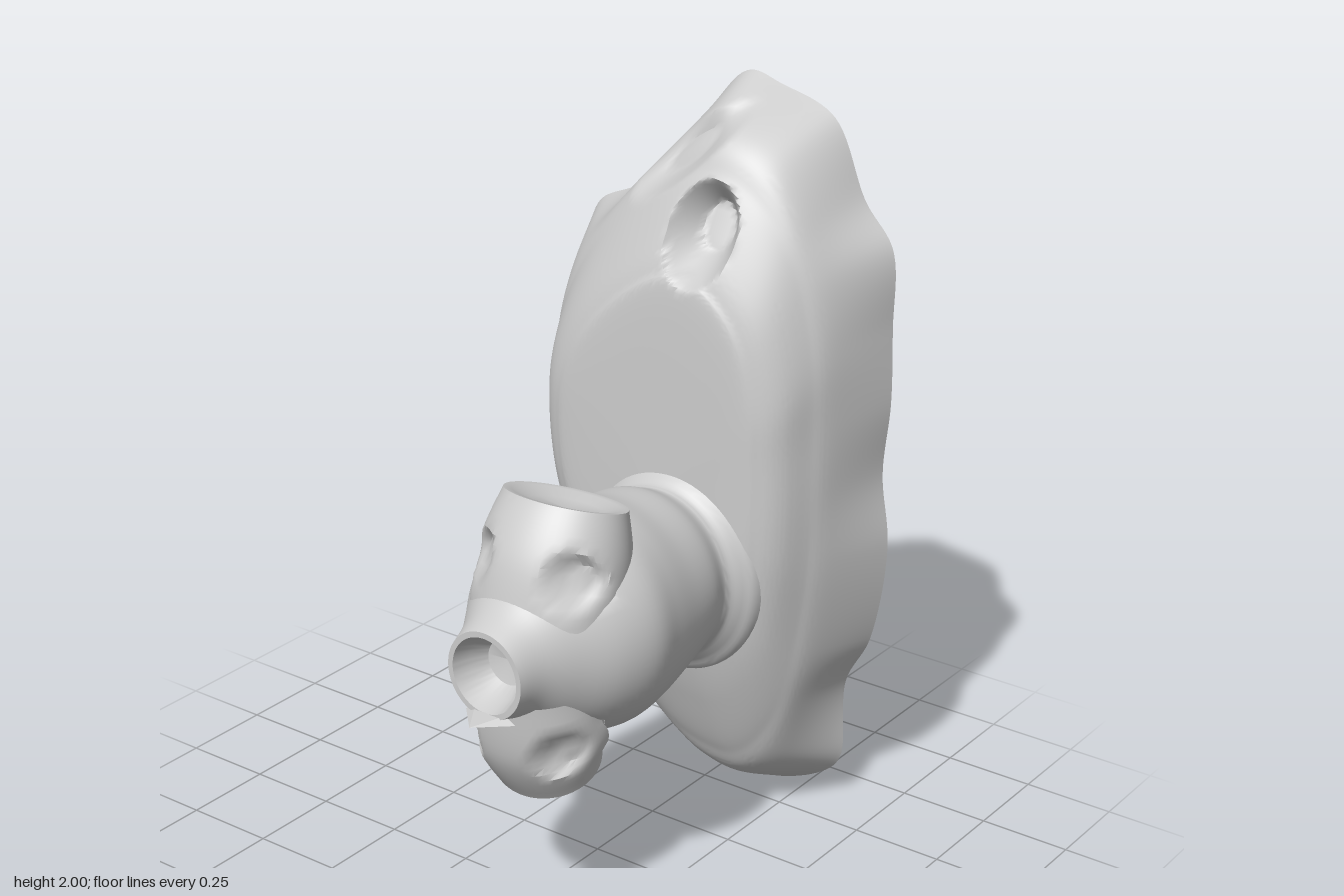
import * as THREE from 'three';
import { toCreasedNormals } from 'three/addons/utils/BufferGeometryUtils.js';

const material = new THREE.MeshStandardMaterial({ color: 0xcccccc });

// Skin a list of closed rings (counter-clockwise seen from the far end)
function loft(rings) {
  const n = rings[0].length;
  const index = [];
  for (let i = 0; i < rings.length - 1; i++) {
    for (let j = 0; j < n; j++) {
      const a = i * n + j, b = i * n + (j + 1) % n;
      index.push(a, b, b + n, a, b + n, a + n);
    }
  }
  const geo = new THREE.BufferGeometry();
  geo.setAttribute('position', new THREE.Float32BufferAttribute(
    rings.flat().flatMap(p => [p.x, p.y, p.z]), 3));
  geo.setIndex(index);
  return geo;
}

// Smoothly interpolate between the rows of a profile
function refine(rows, steps) {
  const out = [];
  const last = rows.length - 1;
  for (let i = 0; i < last; i++) {
    const p = rows[Math.max(i - 1, 0)], q = rows[Math.min(i + 2, last)];
    for (let s = 0; s < steps; s++) {
      const t = s / steps;
      out.push(rows[i].map((b, k) => {
        const a = p[k], c = rows[i + 1][k], d = q[k];
        return 0.5 * (2 * b + (c - a) * t + (2 * a - 5 * b + 4 * c - d) * t * t
          + (3 * b - a - 3 * c + d) * t * t * t);
      }));
    }
  }
  out.push(rows[last]);
  return out;
}

// Points of a unit circle
const circle = Array.from({ length: 64 }, (_, j) => {
  const a = j / 64 * Math.PI * 2;
  return [Math.cos(a), Math.sin(a)];
});

// Press an oval pit into the front of a surface
function dent(geo, x, y, rx, ry, angle, depth, minZ) {
  const pos = geo.attributes.position;
  const c = Math.cos(angle), s = Math.sin(angle);
  for (let i = 0; i < pos.count; i++) {
    const dx = pos.getX(i) - x, dy = pos.getY(i) - y;
    const d = Math.hypot((dx * c + dy * s) / rx, (dy * c - dx * s) / ry);
    if (d < 1 && pos.getZ(i) > minZ) {
      pos.setZ(i, pos.getZ(i) - depth * Math.min(1, (1 - d) * 1.8));
    }
  }
}

// Four small hollows between the mouth and the spouts
function pressHollows(geo) {
  for (const side of [-1, 1]) {
    dent(geo, 0.075 + side * 0.135, 0.99, 0.055, 0.08, side * 0.5, 0.05, 0.3);
    dent(geo, 0.075 + side * 0.13, 0.54, 0.055, 0.075, -side * 0.5, 0.05, 0.3);
  }
}

function part(name, geo, crease) {
  const mesh = new THREE.Mesh(toCreasedNormals(geo, crease), material);
  mesh.name = name;
  return mesh;
}

// Irregular stone slab with a flat back and rounded front
function createSlab() {
  const outline = [
    [0.13, 0], [0.3, 0.06], [0.37, 0.13], [0.38, 0.37], [0.45, 0.52], [0.49, 0.8],
    [0.465, 1], [0.48, 1.2], [0.475, 1.4], [0.465, 1.61], [0.38, 1.72], [0.28, 1.92],
    [0.12, 1.98], [0.02, 2], [-0.1, 1.88], [-0.3, 1.65], [-0.45, 1.57], [-0.485, 1.48],
    [-0.49, 1.2], [-0.485, 0.9], [-0.46, 0.8], [-0.39, 0.65], [-0.3, 0.42], [-0.2, 0.22],
    [-0.1, 0.19], [-0.03, 0.2], [0, 0.14], [0, 0.06], [0.05, 0.02],
  ].map(([x, y]) => new THREE.Vector3(x, y, 0));
  const n = 280, reach = 18;
  const points = new THREE.CatmullRomCurve3(outline, true).getSpacedPoints(n).slice(0, n);
  // The outline grows smoother towards the front
  const soft = points.map((_, i) => {
    const sum = new THREE.Vector3();
    for (let k = -reach; k <= reach; k++) sum.add(points[(i + k + n) % n]);
    return sum.divideScalar(2 * reach + 1);
  });
  // z, width scale, scale above centre, scale below centre
  const profile = [[-0.61, 0.001, 0.001, 0.001], ...refine([
    [-0.61, 1, 1, 1], [-0.42, 0.9, 0.945, 0.945],
    [-0.35, 0.84, 0.86, 0.85], [-0.28, 0.77, 0.73, 0.66], [-0.24, 0.67, 0.64, 0.52],
    [-0.22, 0.52, 0.54, 0.42], [-0.21, 0.001, 0.001, 0.001],
  ], 11)];
  const cx = 0.02, cy = 0.95;
  const geo = loft(profile.map(([z, sx, st, sb]) => points.map((p, i) => {
    const q = p.clone().lerp(soft[i], Math.min(1, (z + 0.61) * 4));
    return new THREE.Vector3(
      cx + (q.x - cx) * sx, cy + (q.y - cy) * (q.y > cy ? st : sb), z);
  })));
  dent(geo, 0.1, 1.66, 0.1, 0.13, 0, 0.1, -0.5);
  dent(geo, -0.03, 1.82, 0.19, 0.06, 0.72, 0.06, -0.55);
  return part('slab', geo, 0.75);
}

// Swollen barrel with a flared neck and a hollow front mouth
function createBarrel() {
  // z, centre x, half width, bottom, top
  const profile = [...refine([
    [-0.36, 0.065, 0.27, 0.46, 1.06], [-0.25, 0.065, 0.265, 0.47, 1.05],
    [-0.21, 0.065, 0.24, 0.51, 1.03], [-0.17, 0.065, 0.215, 0.54, 1.005],
    [-0.1, 0.062, 0.237, 0.53, 1.03], [0, 0.067, 0.248, 0.5, 1.045],
    [0.1, 0.07, 0.262, 0.48, 1.07], [0.2, 0.073, 0.273, 0.49, 1.07],
    [0.3, 0.07, 0.245, 0.52, 1.04], [0.4, 0.07, 0.18, 0.57, 0.98],
    [0.48, 0.073, 0.133, 0.63, 0.92], [0.55, 0.075, 0.112, 0.655, 0.885],
  ], 5),
  [0.55, 0.075, 0.098, 0.67, 0.87], [0.5, 0.075, 0.083, 0.687, 0.853],
  [0.46, 0.075, 0.06, 0.71, 0.83], [0.445, 0.075, 0.001, 0.769, 0.771]];
  const geo = loft(profile.map(([z, cx, rx, y0, y1]) => circle.map(([c, s]) =>
    new THREE.Vector3(cx + rx * c, (y0 + y1) / 2 + (y1 - y0) / 2 * s, z))));
  pressHollows(geo);
  return part('barrel', geo, 0.6);
}

// Spout growing up or down out of the barrel, ending in a dish;
// each row is centre y, centre z, half width, half depth, slope along z
function createSpout(name, up, wall, dish) {
  const geo = loft([...refine(wall, 8), ...dish].map(([y, z, rx, rz, slope]) =>
    circle.map(([c, s]) => {
      const dz = -up * rz * s;
      return new THREE.Vector3(0.07 + rx * c, y + slope * dz, z + dz);
    })));
  pressHollows(geo);
  return part(name, geo, 0.7);
}

// Pointed chip on the lower lip of the mouth
function createLip() {
  const geo = new THREE.ConeGeometry(0.08, 0.08, 5);
  geo.scale(1, 1, 0.2);
  geo.rotateX(Math.PI / 2);
  const mesh = part('mouthLip', geo, 0.3);
  mesh.position.set(0.08, 0.66, 0.575);
  return mesh;
}

export function createModel() {
  const model = new THREE.Group();
  model.name = 'wallSpout';
  model.add(
    createSlab(),
    createBarrel(),
    createSpout('upperSpout', 1, [
      [0.85, 0.29, 0.2, 0.19, 0], [1, 0.26, 0.195, 0.175, 0.15], [1.12, 0.22, 0.165, 0.13, 0.29],
    ], [
      [1.118, 0.22, 0.145, 0.11, 0.29], [1.1, 0.22, 0.1, 0.08, 0.29], [1.09, 0.22, 0.001, 0.001, 0.29],
    ]),
    createSpout('lowerSpout', -1, [
      [0.68, 0.35, 0.16, 0.17, 0], [0.55, 0.34, 0.175, 0.15, -0.25], [0.44, 0.3, 0.15, 0.11, -0.55],
    ], [
      [0.445, 0.3, 0.13, 0.095, -0.55], [0.49, 0.31, 0.09, 0.065, -0.55], [0.51, 0.32, 0.001, 0.001, -0.55],
    ]),
    createLip(),
  );
  return model;
}
